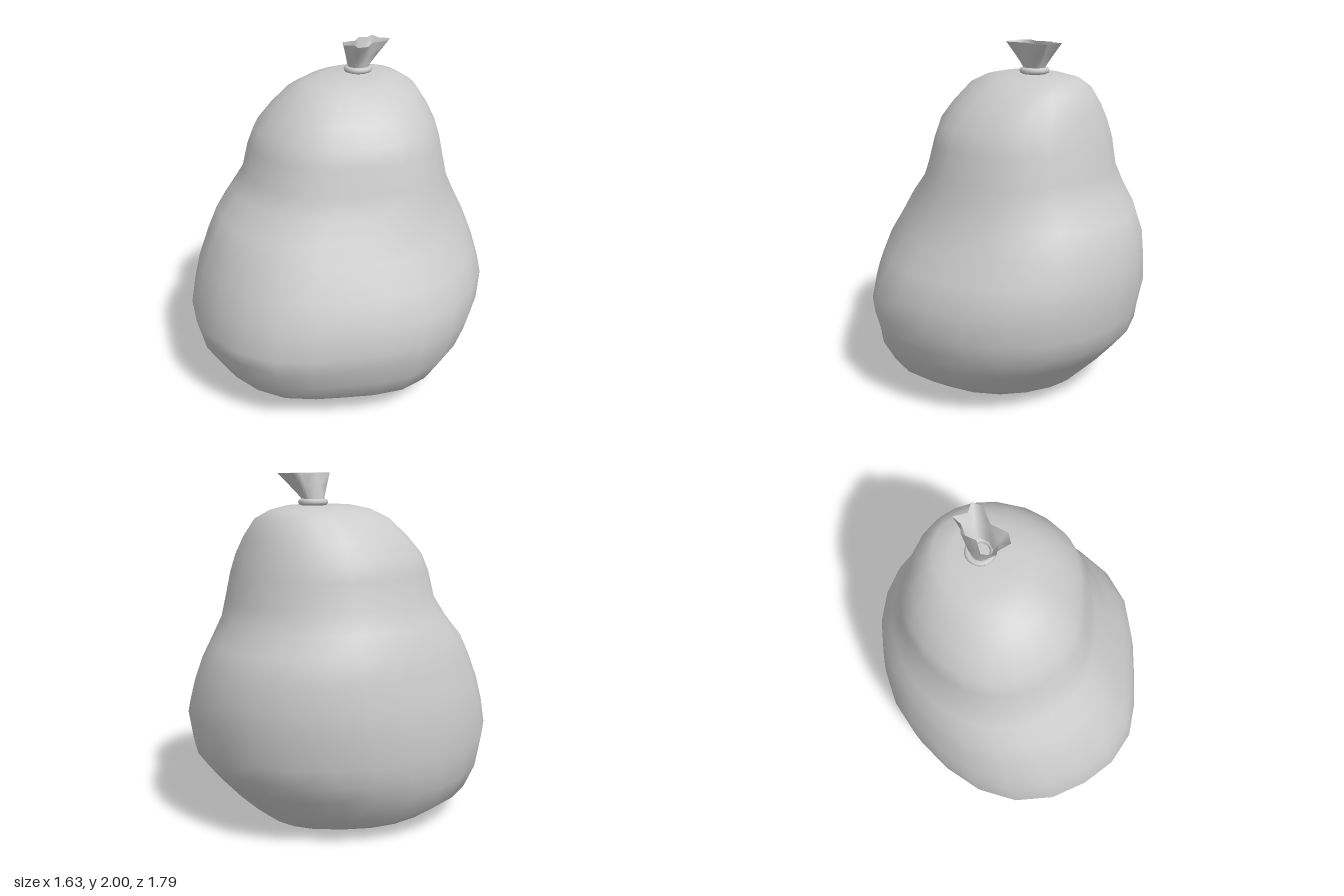
import * as THREE from 'three';

const grey = new THREE.MeshStandardMaterial({ color: 0xcccccc });
const greyThin = new THREE.MeshStandardMaterial({ color: 0xcccccc, side: THREE.DoubleSide });

// Smooth skin over closed loops of points, listed bottom to top.
function loft(loops, { capped = false } = {}) {
  const n = loops[0].length;
  const pos = loops.flat(2);
  const index = [];
  for (let r = 0; r < loops.length - 1; r++) {
    for (let i = 0; i < n; i++) {
      const a = r * n + i, b = r * n + (i + 1) % n;
      index.push(a, a + n, b, b, a + n, b + n);
    }
  }
  if (capped) {
    [0, loops.length - 1].forEach((r, end) => {
      const c = [0, 1, 2].map(k => loops[r].reduce((s, p) => s + p[k], 0) / n);
      const tip = pos.length / 3;
      pos.push(...c);
      for (let i = 0; i < n; i++) {
        const a = r * n + i, b = r * n + (i + 1) % n;
        if (end) index.push(a, tip, b); else index.push(a, b, tip);
      }
    });
  }
  const g = new THREE.BufferGeometry();
  g.setAttribute('position', new THREE.Float32BufferAttribute(pos, 3));
  g.setIndex(index);
  g.computeVertexNormals();
  return g;
}

// Sack cross-sections: height, right x, left x, back z, front z
const sections = [
  [0.00, -0.17, 0.10, -0.42, -0.22],
  [0.03, -0.45, 0.38, -0.50, 0.43],
  [0.065, -0.60, 0.54, -0.54, 0.61],
  [0.155, -0.72, 0.68, -0.63, 0.75],
  [0.29, -0.775, 0.76, -0.75, 0.84],
  [0.40, -0.80, 0.79, -0.84, 0.87],
  [0.50, -0.81, 0.815, -0.86, 0.90],
  [0.66, -0.815, 0.81, -0.89, 0.85],
  [0.80, -0.79, 0.745, -0.88, 0.805],
  [0.95, -0.76, 0.66, -0.855, 0.725],
  [1.07, -0.725, 0.60, -0.80, 0.655],
  [1.19, -0.67, 0.56, -0.72, 0.54],
  [1.30, -0.605, 0.53, -0.69, 0.485],
  [1.45, -0.58, 0.495, -0.66, 0.44],
  [1.55, -0.545, 0.46, -0.63, 0.40],
  [1.65, -0.475, 0.385, -0.60, 0.32],
  [1.75, -0.385, 0.29, -0.555, 0.22],
  [1.80, -0.30, 0.18, -0.49, 0.12],
  [1.825, -0.21, 0.09, -0.39, 0.00],
];

// Uneven bulge of each quarter: left front, right front, right back, left back
const bulge = [-0.11, 0.06, -0.01, 0.025];

function sackLoop([y, x0, x1, z0, z1], segments = 24) {
  const loop = [];
  for (let i = 0; i < segments; i++) {
    const t = (i / segments) * Math.PI * 2;
    const quarter = Math.floor((i * 4) / segments);
    const f = 1 + bulge[quarter] * Math.sin(2 * t) ** 2;
    loop.push([
      (x0 + x1) / 2 + ((x1 - x0) / 2) * f * Math.cos(t),
      y,
      (z0 + z1) / 2 + ((z1 - z0) / 2) * f * Math.sin(t),
    ]);
  }
  return loop;
}

// Pleated rim of the gathered neck, x and z
const rim = [
  [0.045, -0.24], [0.08, -0.15], [0.05, -0.095], [0.0, -0.13],
  [-0.045, -0.095], [-0.10, -0.15], [-0.065, -0.22], [-0.10, -0.30],
  [-0.065, -0.34], [-0.07, -0.40], [0.0, -0.365], [0.055, -0.40], [0.08, -0.345],
];

export function createModel() {
  const group = new THREE.Group();
  const add = (name, geometry, material) => {
    const mesh = new THREE.Mesh(geometry, material);
    mesh.name = name;
    group.add(mesh);
    return mesh;
  };

  // Sagging stuffed sack
  add('sack', loft(sections.map(s => sackLoop(s)), { capped: true }), grey);

  // Cord tied round the neck
  const cord = add('neckCord', new THREE.TorusGeometry(0.066, 0.018, 8, 20), grey);
  cord.rotation.x = Math.PI / 2;
  cord.position.set(-0.045, 1.843, -0.225);

  // Open gathered neck, flaring from a circle to the pleated rim
  const neck = [[1.82, 0], [1.865, 0.06], [1.93, 0.5], [2.0, 1]].map(([y, k]) =>
    rim.map(([x, z]) => {
      const a = Math.atan2(z + 0.24, x + 0.02);
      return [
        THREE.MathUtils.lerp(-0.045 + 0.06 * Math.cos(a), x, k),
        y,
        THREE.MathUtils.lerp(-0.225 + 0.06 * Math.sin(a), z, k),
      ];
    }));
  add('gatheredNeck', loft(neck), greyThin);

  return group;
}
